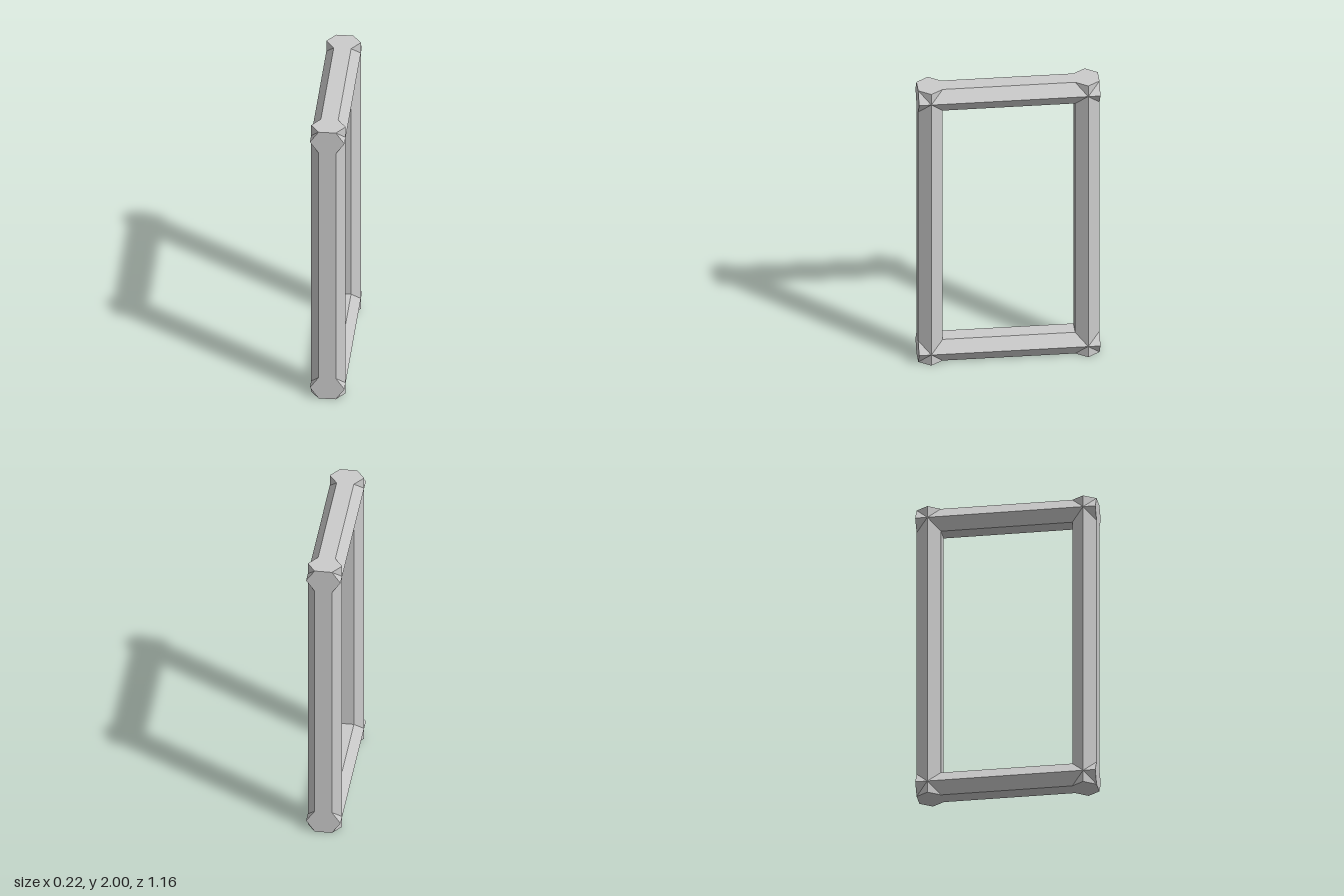
import * as THREE from 'three';

const WIDTH = 0.11;   // half width across the side ridges (x)
const DEPTH = 0.078;  // half thickness between the flats
const HALF_H = 1;     // half height of the frame
const HALF_D = 0.578; // half depth of the frame

// Hexagonal bar along y, ridges pointing to +x and -x
function hexBar(length) {
  const geometry = new THREE.CylinderGeometry(WIDTH, WIDTH, length, 6, 1, false, Math.PI / 2);
  geometry.scale(1, 1, DEPTH / (WIDTH * Math.sin(Math.PI / 3)));
  return geometry;
}

export function createModel() {
  const group = new THREE.Group();
  group.name = 'rectangularFrame';
  const material = new THREE.MeshStandardMaterial({ color: 0xcccccc, flatShading: true });

  const postGeometry = hexBar(2 * HALF_H);
  const railGeometry = hexBar(2 * HALF_D).rotateX(Math.PI / 2);

  function addBar(name, geometry, y, z) {
    const mesh = new THREE.Mesh(geometry, material);
    mesh.name = name;
    mesh.position.set(0, y, z);
    group.add(mesh);
  }

  // Full-length posts and rails cross at the corners, ends flush with the outer flats
  for (const side of [1, -1]) {
    addBar(side > 0 ? 'frontPost' : 'backPost', postGeometry, HALF_H, side * (HALF_D - DEPTH));
    addBar(side > 0 ? 'topRail' : 'bottomRail', railGeometry, HALF_H + side * (HALF_H - DEPTH), 0);
  }
  return group;
}
